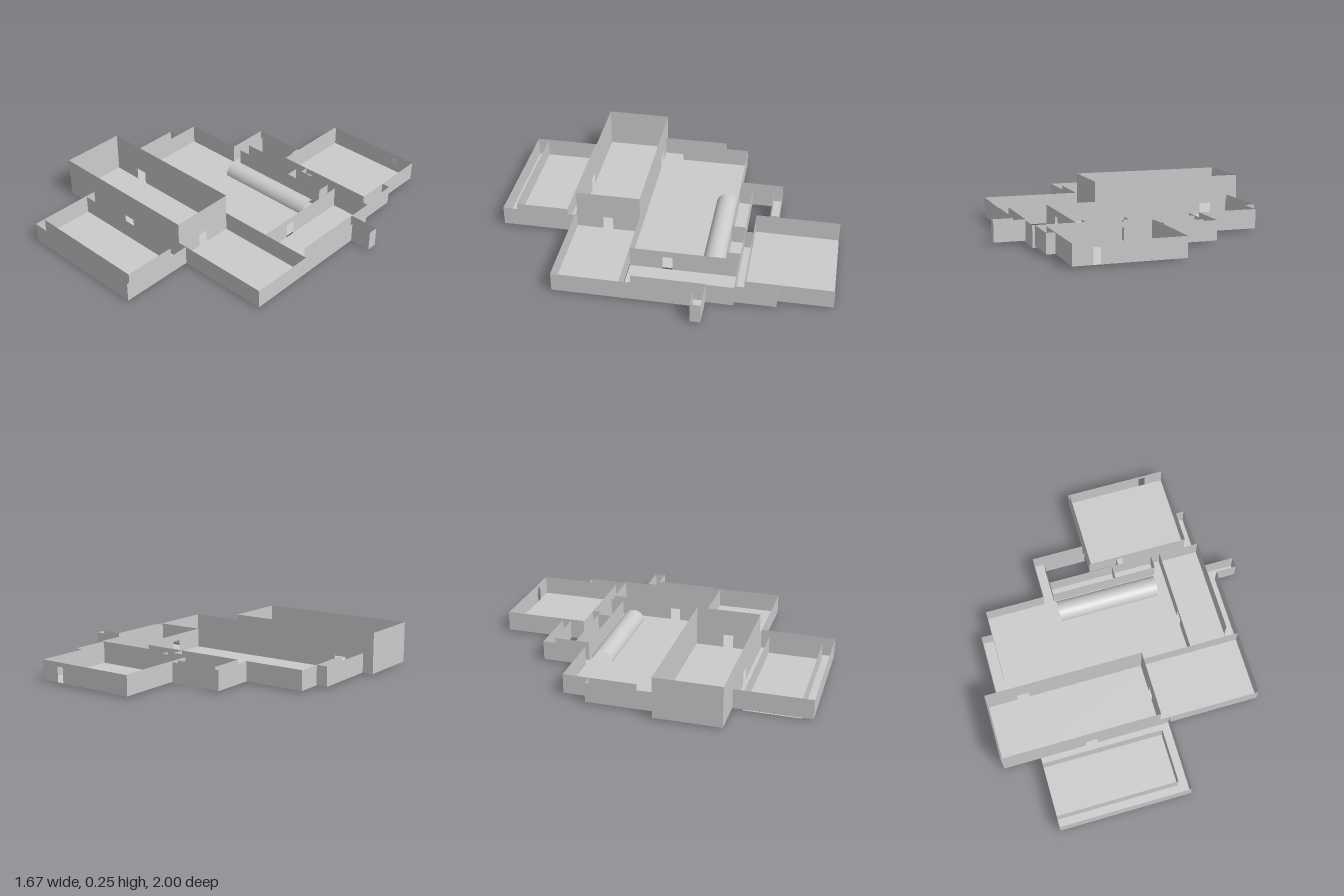
import * as THREE from 'three';

const BASE = 0.01, TOP = 0.125;
const material = new THREE.MeshStandardMaterial({ color: 0xcccccc, side: THREE.DoubleSide, flatShading: true });
const smooth = new THREE.MeshStandardMaterial({ color: 0xcccccc, side: THREE.DoubleSide });

function addMesh(parent, name, geometry, mat = material) {
  const mesh = new THREE.Mesh(geometry, mat);
  mesh.name = name;
  parent.add(mesh);
  return mesh;
}

// Flat floor over a rectangle in x and z
function floor(parent, x0, x1, z0, z1, y = BASE) {
  const mesh = addMesh(parent, 'floor', new THREE.PlaneGeometry(x1 - x0, z1 - z0).rotateX(-Math.PI / 2));
  mesh.position.set((x0 + x1) / 2, y, (z0 + z1) / 2);
}

// Thin upright wall between two points; doors are [start, end, height] along its length
function wall(parent, [x0, z0], [x1, z1], { top = TOP, base = BASE, doors = [] } = {}) {
  const length = Math.hypot(x1 - x0, z1 - z0);
  const shape = new THREE.Shape().moveTo(0, 0);
  for (const [a, b, h] of doors) shape.lineTo(a, 0).lineTo(a, h).lineTo(b, h).lineTo(b, 0);
  shape.lineTo(length, 0).lineTo(length, top - base).lineTo(0, top - base);
  const mesh = addMesh(parent, 'wall', new THREE.ShapeGeometry(shape));
  mesh.position.set(x0, base, z0);
  mesh.rotation.y = Math.atan2(z0 - z1, x1 - x0);
}

// Chain of walls through a list of [x, z] points
function walls(parent, points, options) {
  for (let i = 1; i < points.length; i++) wall(parent, points[i - 1], points[i], options);
}

export function createModel() {
  const model = new THREE.Group();
  model.name = 'floorPlan';
  const area = (name) => {
    const g = new THREE.Group();
    g.name = name;
    model.add(g);
    return g;
  };

  // Tall room with three doorways
  const tall = area('tallRoom');
  const high = { top: 0.25 };
  floor(tall, -0.84, 0.105, 0.175, 0.56);
  wall(tall, [-0.84, 0.175], [0.105, 0.175], { ...high, doors: [[0.18, 0.25, 0.075]] });
  wall(tall, [-0.84, 0.56], [0.105, 0.56], { ...high, doors: [[0.495, 0.565, 0.08]] });
  wall(tall, [0.105, 0.175], [0.105, 0.56], { ...high, doors: [[0.165, 0.225, 0.08]] });
  wall(tall, [-0.84, 0.175], [-0.84, 0.56], high);

  // Front passage wrapped around an inner room
  const front = area('frontPassage');
  floor(front, -0.62, 0.16, 0.56, 1);
  walls(front, [[-0.62, 0.56], [-0.62, 1], [0.16, 1], [0.16, 0.56]]);
  const inner = area('innerFrontRoom');
  floor(inner, -0.62, 0.1, 0.62, 0.935, 0.005);
  walls(inner, [[-0.62, 0.62], [0.1, 0.62], [0.1, 0.935], [-0.62, 0.935]], { base: 0.005, top: 0.118 });

  // Room beside the tall room
  const side = area('sideRoom');
  floor(side, 0.105, 0.71, 0.175, 0.56);
  walls(side, [[0.105, 0.56], [0.71, 0.56], [0.71, 0.12]]);
  wall(side, [0.105, 0.175], [0.71, 0.175]);

  // Main hall with its alcove
  const hall = area('mainHall');
  floor(hall, -0.71, 0.41, -0.375, 0.175);
  floor(hall, 0.355, 0.41, -0.455, -0.375);
  walls(hall, [[-0.71, 0.05], [-0.71, -0.375], [-0.35, -0.375]]);
  walls(hall, [[-0.29, -0.375], [0.355, -0.375], [0.355, -0.455], [0.41, -0.455]]);

  // Open half-round vault standing in the hall
  const vault = addMesh(hall, 'barrelVault',
    new THREE.CylinderGeometry(0.065, 0.065, 0.62, 32, 1, true, 0, Math.PI).rotateZ(Math.PI / 2), smooth);
  vault.position.set(0.03, BASE, -0.3);

  // Narrow passage along the hall's outer wall
  const leftPassage = area('outerPassage');
  floor(leftPassage, -0.775, -0.71, -0.225, 0.175);
  walls(leftPassage, [[-0.71, -0.225], [-0.775, -0.225], [-0.775, 0.175]]);

  // Narrow room behind the hall, split by a cross wall
  const narrow = area('narrowRoom');
  floor(narrow, -0.29, 0.355, -0.455, -0.375);
  walls(narrow, [[-0.29, -0.455], [0.355, -0.455]]);
  wall(narrow, [0.105, -0.455], [0.105, -0.375]);

  // Bent corridor leading off the back of the hall
  const bent = area('bentCorridor');
  floor(bent, -0.35, -0.29, -0.635, -0.375);
  floor(bent, -0.29, -0.035, -0.635, -0.585);
  walls(bent, [[-0.35, -0.375], [-0.35, -0.635], [-0.035, -0.635], [-0.035, -0.585], [-0.29, -0.585], [-0.29, -0.375]]);

  // Back room with an outer doorway and an inner doorway
  const back = area('backRoom');
  floor(back, -0.025, 0.59, -1, -0.505);
  wall(back, [-0.025, -1], [0.59, -1], { doors: [[0.465, 0.505, 0.09]] });
  wall(back, [-0.025, -0.505], [0.59, -0.505], { doors: [[0.175, 0.215, 0.08]] });
  for (const x of [-0.025, -0.015, 0.59]) wall(back, [x, -1], [x, -0.505]);

  // Linking passage between the back room and the east room
  const link = area('linkPassage');
  floor(link, 0.145, 0.64, -0.505, -0.455);
  floor(link, 0.59, 0.64, -0.69, -0.505);
  wall(link, [0.145, -0.505], [0.145, -0.455]);
  walls(link, [[0.59, -0.69], [0.64, -0.69], [0.64, -0.455]]);

  // East room opening to a corridor with a short side exit
  const east = area('eastRoom');
  floor(east, 0.41, 0.655, -0.455, 0.175, 0);
  wall(east, [0.41, -0.455], [0.41, 0.175], { base: 0, doors: [[0.38, 0.44, 0.085]] });
  wall(east, [0.41, -0.455], [0.655, -0.455], { base: 0 });
  wall(east, [0.655, -0.455], [0.655, 0.12], { base: 0 });

  const corridor = area('eastCorridor');
  floor(corridor, 0.655, 0.71, -0.3, 0.175);
  floor(corridor, 0.71, 0.835, -0.3, -0.24);
  walls(corridor, [[0.655, 0.12], [0.655, -0.3], [0.835, -0.3], [0.835, -0.24], [0.71, -0.24], [0.71, 0.12]], { top: 0.13 });

  return model;
}
